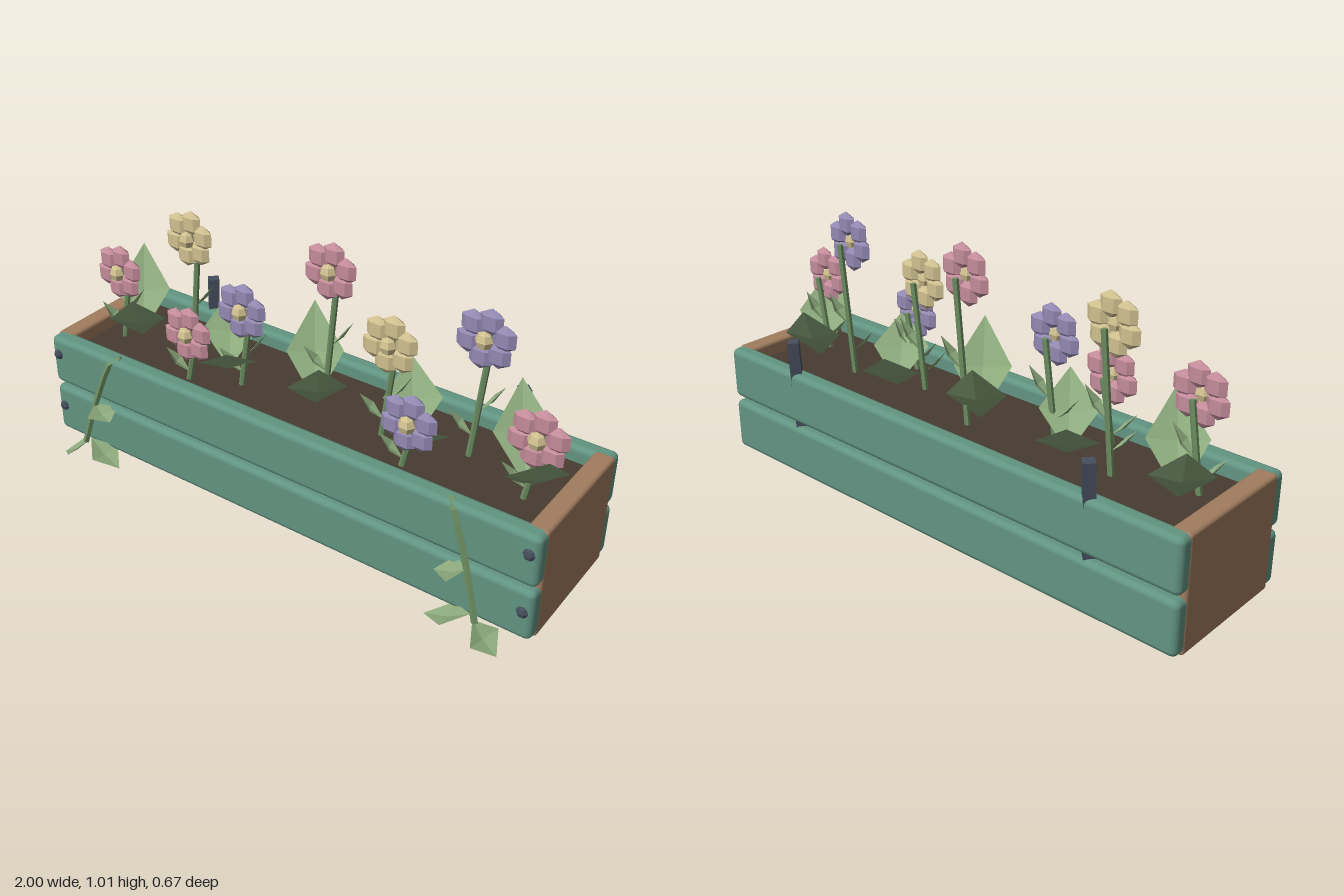
import * as THREE from 'three';
import { RoundedBoxGeometry } from 'three/addons/geometries/RoundedBoxGeometry.js';

const mat = (name, color, extra = {}) => {
  const m = new THREE.MeshStandardMaterial({ color, ...extra });
  m.name = name;
  return m;
};

export function createModel() {
  const flat = { flatShading: true };
  const paint = mat('green paint', 0x629482);
  const wood = mat('bare wood', 0xa07c5e);
  const soilMat = mat('soil', 0x473b30);
  const metal = mat('dark metal', 0x454d5c, flat);
  const stemMat = mat('stem green', 0x6d8f62, flat);
  const leafMat = mat('leaf green', 0x8dab7d, { flatShading: true, side: THREE.DoubleSide });
  const pink = mat('pink petal', 0xc48c9b, flat);
  const purple = mat('purple petal', 0x9389b3, flat);
  const cream = mat('cream petal', 0xd0c08f, flat);

  const model = new THREE.Group();
  model.name = 'flowerBox';
  const V = (x, y, z) => new THREE.Vector3(x, y, z);

  const add = (parent, name, geometry, material, x = 0, y = 0, z = 0) => {
    const mesh = new THREE.Mesh(geometry, material);
    mesh.name = name;
    mesh.position.set(x, y, z);
    parent.add(mesh);
    return mesh;
  };

  // Straight six-sided rod between two points
  const rod = (parent, name, a, b, radius, material, sides = 6) => {
    const dir = b.clone().sub(a);
    const mid = a.clone().add(b).multiplyScalar(0.5);
    const mesh = add(parent, name, new THREE.CylinderGeometry(radius, radius, dir.length(), sides), material, mid.x, mid.y, mid.z);
    mesh.quaternion.setFromUnitVectors(V(0, 1, 0), dir.normalize());
    return mesh;
  };

  // Diamond leaf folded along its midrib, from base to tip
  const leaf = (parent, name, base, tip, width, fold = 0.02) => {
    const dir = tip.clone().sub(base);
    const side = V(0, 1, 0).cross(dir).normalize();
    const down = side.clone().cross(dir).normalize().multiplyScalar(fold);
    const mid = base.clone().lerp(tip, 0.5);
    const left = mid.clone().addScaledVector(side, width / 2);
    const right = mid.clone().addScaledVector(side, -width / 2);
    mid.add(down);
    const tris = [base, left, mid, left, tip, mid, mid, tip, right, base, mid, right];
    const geometry = new THREE.BufferGeometry().setFromPoints(tris);
    geometry.computeVertexNormals();
    return add(parent, name, geometry, leafMat);
  };

  // Painted slats, two on the front and two on the back
  const box = new THREE.Group();
  box.name = 'planterBox';
  model.add(box);
  for (const y of [0.155, 0.365]) {
    add(box, 'frontSlat', new RoundedBoxGeometry(1.998, 0.193, 0.07, 2, 0.022), paint, 0, y, 0.185);
    add(box, 'backSlat', new RoundedBoxGeometry(1.998, 0.193, 0.065, 2, 0.022), paint, 0, y, -0.2975);
  }

  // End boards, base board and soil
  for (const s of [-1, 1]) {
    add(box, 'endBoard', new RoundedBoxGeometry(0.07, 0.412, 0.47, 2, 0.012), wood, s * 0.965, 0.256, -0.055);
  }
  add(box, 'baseBoard', new THREE.BoxGeometry(1.9, 0.03, 0.45), wood, 0, 0.065, -0.055);
  add(box, 'soil', new THREE.BoxGeometry(1.88, 0.13, 0.395), soilMat, 0, 0.345, -0.06);

  // Bolt heads on the front corners
  for (const x of [-0.965, 0.965]) {
    for (const y of [0.17, 0.394]) {
      add(box, 'bolt', new THREE.SphereGeometry(0.021, 6, 4), metal, x, y, 0.222).scale.z = 0.6;
    }
  }

  // Four-sided hanging brackets: an upright and a foot under the box
  for (const x of [-0.655, 0.655]) {
    rod(box, 'bracketUpright', V(x, 0.06, -0.285), V(x, 0.58, -0.31), 0.028, metal, 4);
    rod(box, 'bracketFoot', V(x, 0.06, 0.05), V(x, 0.07, -0.295), 0.026, metal, 4);
  }

  // Flowers: x, y and z of the bloom, and the petal colour
  const flowers = [
    [-0.795, 0.71, 0.04, pink], [-0.527, 0.885, -0.042, cream], [-0.404, 0.628, 0.13, pink],
    [-0.227, 0.74, 0.052, purple], [0.04, 0.915, -0.08, pink], [0.34, 0.795, 0.024, cream],
    [0.484, 0.615, 0.13, purple], [0.634, 0.885, -0.042, purple], [0.88, 0.676, 0.055, pink],
  ];
  const petalShape = new THREE.SphereGeometry(0.046, 6, 3);
  const centreShape = new THREE.SphereGeometry(0.031, 6, 4);
  for (const [x, y, z, petalMat] of flowers) {
    const flower = new THREE.Group();
    flower.name = 'flower';
    model.add(flower);
    const foot = V(x - 0.05, 0.39, z - 0.047);
    const head = V(x, y, z - 0.047);
    rod(flower, 'stem', foot, head, 0.011, stemMat);
    for (let i = 0; i < 6; i++) {
      const a = 1.36 + i * Math.PI / 3;
      add(flower, 'petal', petalShape, petalMat, x + 0.063 * Math.cos(a), y + 0.063 * Math.sin(a), z).scale.z = 0.46;
    }
    add(flower, 'flowerCentre', centreShape, cream, x, y, z + 0.013).scale.z = 0.85;

    // Small leaves along the stem
    const upper = foot.clone().lerp(head, 0.4);
    const lower = foot.clone().lerp(head, 0.2);
    leaf(flower, 'stemLeaf', upper, upper.clone().add(V(0.08, 0.11, -0.02)), 0.06, 0.01);
    leaf(flower, 'stemLeaf', lower, lower.clone().add(V(-0.08, 0.09, 0.03)), 0.06, 0.01);
  }

  // Clumps of two broad leaves growing from the soil: x and height
  for (const [x, h] of [[-0.8, 0.27], [-0.38, 0.2], [0, 0.28], [0.4, 0.2], [0.81, 0.26]]) {
    const clump = new THREE.Group();
    clump.name = 'leafClump';
    model.add(clump);
    const base = V(x, 0.405, -0.055);
    leaf(clump, 'backLeaf', base, V(x - 0.135, 0.405 + h, -0.24), 0.2);
    leaf(clump, 'frontLeaf', base, V(x + 0.145, 0.405 + h, 0.13), 0.2);
  }

  // Vines trailing over the front, mirrored left and right
  for (const s of [-1, 1]) {
    const vine = new THREE.Group();
    vine.name = 'trailingVine';
    model.add(vine);
    const path = new THREE.CatmullRomCurve3([
      V(s * 0.66, 0.4, 0.14), V(s * 0.69, 0.462, 0.205), V(s * 0.77, 0.28, 0.236), V(s * 0.83, 0.08, 0.257),
    ]);
    add(vine, 'vineStem', new THREE.TubeGeometry(path, 12, 0.012, 5), stemMat);
    leaf(vine, 'vineLeaf', V(s * 0.78, 0.26, 0.24), V(s * 0.68, 0.23, 0.27), 0.125, 0.012);
    leaf(vine, 'vineLeaf', V(s * 0.81, 0.1, 0.25), V(s * 0.655, 0.035, 0.27), 0.12, 0.012);
    leaf(vine, 'vineLeaf', V(s * 0.82, 0.085, 0.255), V(s * 0.925, 0.008, 0.28), 0.13, 0.012);
  }

  return model;
}
